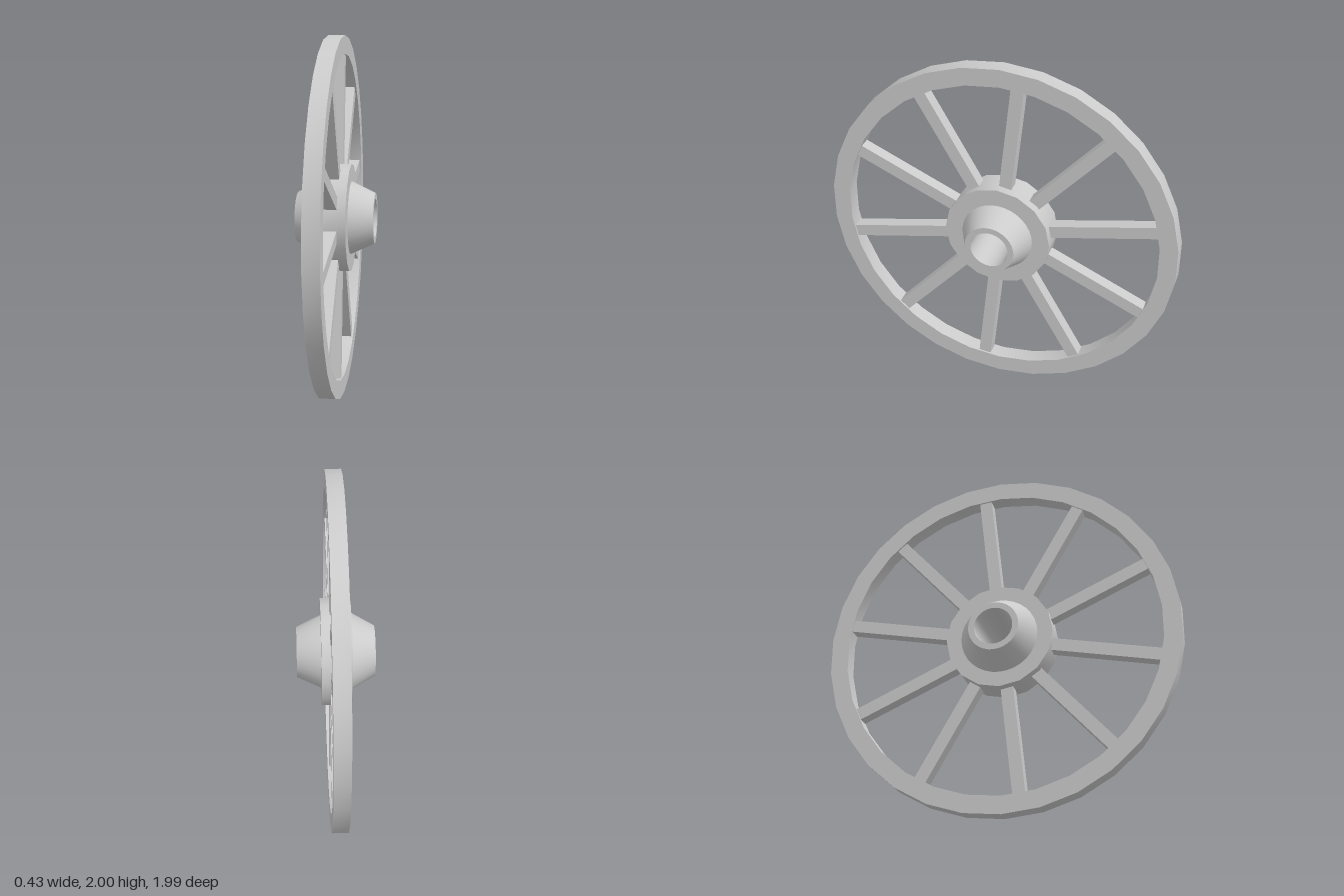
import * as THREE from 'three';
import { toCreasedNormals } from 'three/addons/utils/BufferGeometryUtils.js';

const SPOKES = 10;
const material = new THREE.MeshStandardMaterial({ color: 0xcccccc });

// Closed [radius, x] profile turned around the x axis
function turned(name, profile, sides) {
  const points = [...profile, profile[0]].map(([r, x]) => new THREE.Vector2(r, x));
  const geometry = new THREE.LatheGeometry(points, sides, Math.PI / 2);
  geometry.rotateZ(-Math.PI / 2);
  const mesh = new THREE.Mesh(toCreasedNormals(geometry, Math.PI / 7), material);
  mesh.name = name;
  return mesh;
}

export function createModel() {
  const wheel = new THREE.Group();
  wheel.name = 'wheel';

  // Outer rim
  wheel.add(turned('rim', [[1, -0.045], [1, 0.045], [0.9, 0.045], [0.9, -0.045]], 30));

  // Hub ring holding the spokes
  wheel.add(turned('hubRing', [[0.3, -0.083], [0.3, 0.083], [0.13, 0.083], [0.13, -0.083]], 16));

  // Tapered hub with an open bore
  wheel.add(turned('hub', [
    [0.107, -0.215], [0.14, -0.215], [0.217, -0.08], [0.203, 0.08], [0.14, 0.215], [0.107, 0.215],
  ], 32));

  // Square spokes from hub ring to rim
  const spokeGeometry = new THREE.BoxGeometry(0.07, 0.64, 0.07).translate(0, 0.58, 0);
  const spokes = new THREE.Group();
  spokes.name = 'spokes';
  for (let i = 0; i < SPOKES; i++) {
    const spoke = new THREE.Mesh(spokeGeometry, material);
    spoke.name = 'spoke';
    spoke.rotation.x = -THREE.MathUtils.degToRad(6 + (i * 360) / SPOKES);
    spokes.add(spoke);
  }
  wheel.add(spokes);

  // Raise the wheel to stand on the ground
  wheel.position.y = 1;
  const model = new THREE.Group();
  model.name = 'spokedWheel';
  model.add(wheel);
  return model;
}
